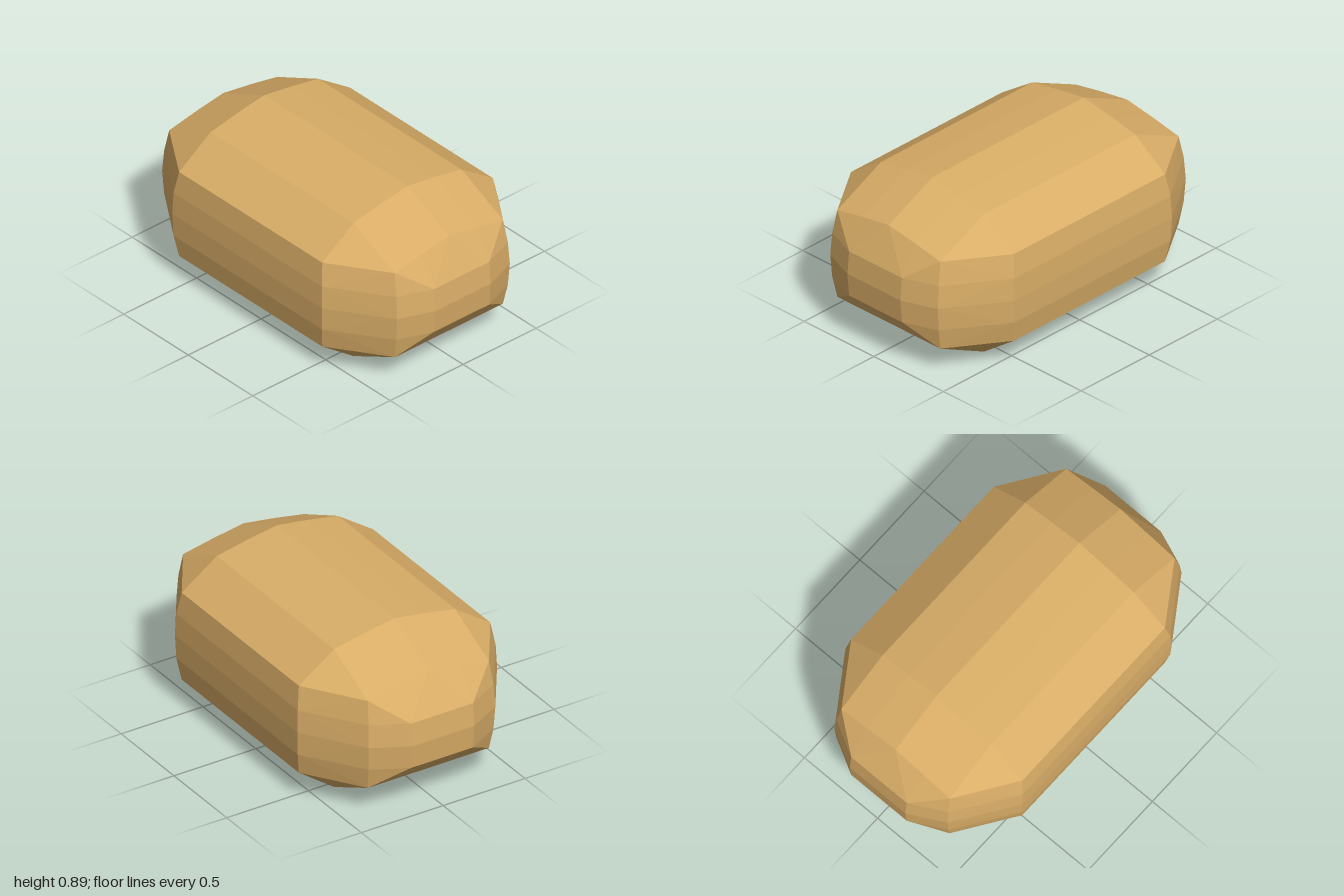
import * as THREE from 'three';
import { ConvexGeometry } from 'three/addons/geometries/ConvexGeometry.js';

// Stations of one end as [x, [[y, z, bulge], ...]]; bulge pushes a point outward in x
const body = [
  [0, 0.37, 0],
  [0.155, 0.585, 0], [0.28, 0.605, 0.02], [0.415, 0.61, 0.025], [0.545, 0.605, 0.02], [0.675, 0.585, 0],
  [0.825, 0.37, 0], [0.86, 0.19, 0], [0.89, 0, 0],
];
const shoulder = [
  [0.155, 0.37, 0], [0.28, 0.382, 0.025], [0.415, 0.387, 0.035], [0.545, 0.382, 0.025], [0.675, 0.37, 0],
  [0.71, 0.19, 0], [0.74, 0, 0],
];
const cap = [[0.28, 0.19, -0.012], [0.415, 0.19, 0], [0.545, 0.19, -0.012]];

export function createModel() {
  const group = new THREE.Group();
  group.name = 'loaf';
  const crust = new THREE.MeshStandardMaterial({ color: 0xd9ad67 });
  crust.name = 'golden crust';

  // Faceted, rounded block: mirrored front to back, the right end a touch fuller
  const points = [];
  for (const side of [-1, 1]) {
    const shift = side > 0 ? 0.03 : 0;
    for (const [x, ring] of [[0.54 + shift, body], [0.86 + shift, shoulder], [1, cap]]) {
      for (const [y, z, bulge] of ring) {
        for (const m of z ? [-1, 1] : [1]) {
          points.push(new THREE.Vector3(side * (x + bulge), y, m * z));
        }
      }
    }
  }
  const mesh = new THREE.Mesh(new ConvexGeometry(points), crust);
  mesh.name = 'loafBody';
  group.add(mesh);
  return group;
}
